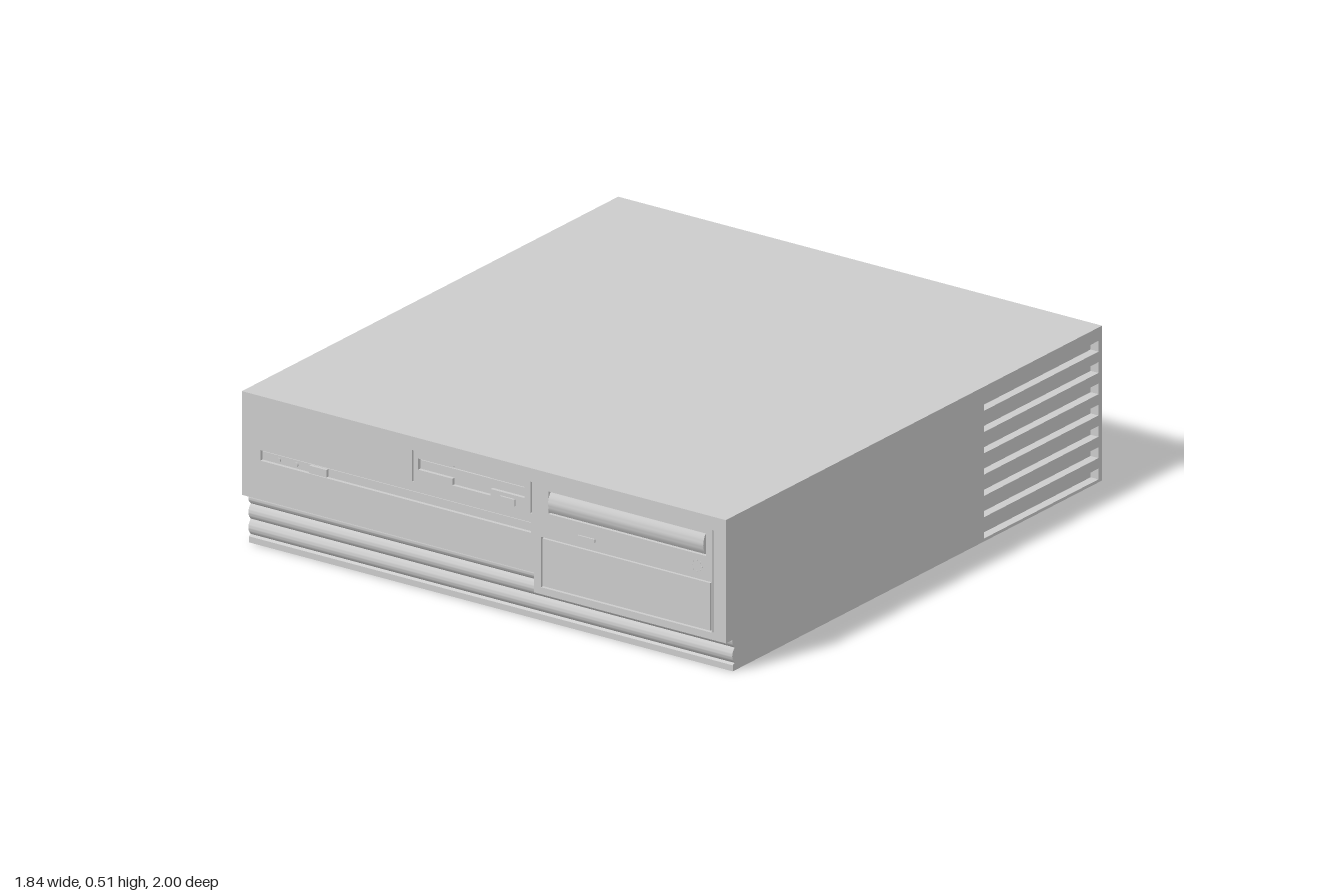
import * as THREE from 'three';
import { toCreasedNormals } from 'three/addons/utils/BufferGeometryUtils.js';

const material = new THREE.MeshStandardMaterial({ color: 0xcccccc });
const W = 0.92, H = 0.515;
const BACK = -0.988, CORE_FRONT = 0.935, FACE = 0.992, FACE_BACK = 0.98;

// Closed outline from [x, y] points
const outline = (pts, Type = THREE.Shape) => new Type(pts.map(([x, y]) => new THREE.Vector2(x, y)));
const rect = (x0, x1, y0, y1) => [[x0, y0], [x1, y0], [x1, y1], [x0, y1]];

export function createModel() {
  const model = new THREE.Group();

  function add(name, geometry, parent = model) {
    const mesh = new THREE.Mesh(geometry, material);
    mesh.name = name;
    parent.add(mesh);
    return mesh;
  }
  function box(name, x0, x1, y0, y1, z0, z1, parent) {
    const g = new THREE.BoxGeometry(x1 - x0, y1 - y0, z1 - z0);
    g.translate((x0 + x1) / 2, (y0 + y1) / 2, (z0 + z1) / 2);
    return add(name, g, parent);
  }
  // Plate facing z, with holes
  function plate(name, pts, holes, z0, z1, parent) {
    const shape = outline(pts);
    shape.holes = holes.map((h) => outline(h, THREE.Path));
    const g = new THREE.ExtrudeGeometry(shape, { depth: z1 - z0, bevelEnabled: false });
    g.translate(0, 0, z0);
    return add(name, g, parent);
  }
  // Side profile, drawn as (-z, y), swept along x
  function sweepX(name, shape, x0, x1, parent) {
    let g = new THREE.ExtrudeGeometry(shape, { depth: x1 - x0, bevelEnabled: false, curveSegments: 10 });
    g.rotateY(Math.PI / 2);
    g.translate(x0, 0, 0);
    g = toCreasedNormals(g, 0.5);
    return add(name, g, parent);
  }
  // Strip whose front bulges outward
  function bulge(name, x0, x1, y0, y1, zBack, zEdge, zMid, parent) {
    const s = new THREE.Shape();
    s.moveTo(-zBack, y0);
    s.lineTo(-zBack, y1);
    s.lineTo(-zEdge, y1);
    s.quadraticCurveTo(-(2 * zMid - zEdge), (y0 + y1) / 2, -zEdge, y0);
    s.closePath();
    return sweepX(name, s, x0, x1, parent);
  }
  function disc(name, x, y, r, z0, z1, parent) {
    const g = new THREE.CylinderGeometry(r, r, z1 - z0, 12);
    g.rotateX(Math.PI / 2);
    g.translate(x, y, (z0 + z1) / 2);
    return add(name, g, parent);
  }

  // Case, with a deep connector recess at the back
  const INNER = 0.89;
  box('caseBody', -W, INNER, 0, H, -0.875, CORE_FRONT);
  plate('backPanel', rect(-W, INNER, 0, H), [rect(-0.19, 0.85, 0.08, 0.455)], BACK, -0.875);
  plate('backRim', rect(-W, W, 0, H), [rect(-W + 0.012, W - 0.012, 0.012, H - 0.012)], -1, BACK);

  // Left side panel with seven vent slots
  const side = outline(rect(-CORE_FRONT, -BACK, 0, H));
  for (let i = 0; i < 7; i++) {
    const y = 0.01 + i * 0.0708;
    side.holes.push(outline(rect(0.375, 0.981, y, y + 0.036), THREE.Path));
  }
  sweepX('ventedSidePanel', side, INNER, W);

  // Rounded ridges along the lower front
  const ridge = new THREE.Shape();
  ridge.moveTo(-CORE_FRONT, 0);
  ridge.lineTo(-CORE_FRONT, 0.17);
  ridge.lineTo(-0.943, 0.17);
  for (const [top, bottom] of [[0.17, 0.127], [0.127, 0.076], [0.076, 0.025]]) {
    ridge.lineTo(-0.945, top);
    ridge.quadraticCurveTo(-0.971, (top + bottom) / 2, -0.945, bottom);
  }
  ridge.lineTo(-0.955, 0.02);
  ridge.lineTo(-0.955, 0);
  ridge.closePath();
  sweepX('lowerRidges', ridge, -W, W);

  // Stepped front bezel: solid backing and a thin face with openings
  const bezel = new THREE.Group();
  bezel.name = 'frontBezel';
  model.add(bezel);
  const step = [[-W, 0.17], [0.19, 0.17], [0.19, 0.105], [W, 0.105], [W, H], [-W, H]];
  plate('bezelBacking', step, [], CORE_FRONT, FACE_BACK, bezel);
  plate('bezelFace', step, [
    rect(-0.85, 0.18, 0.3, 0.335),
    rect(-0.274, -0.268, 0.365, 0.47),
    rect(0.177, 0.183, 0.365, 0.47),
    // floppy slot with finger notches above and below
    [[-0.25, 0.41], [-0.12, 0.41], [-0.12, 0.388], [0.025, 0.388], [0.025, 0.41], [0.155, 0.41],
      [0.155, 0.447], [0.025, 0.447], [0.015, 0.455], [-0.11, 0.455], [-0.12, 0.447], [-0.25, 0.447]],
    rect(0.245, 0.845, 0.378, 0.453),
    rect(0.217, 0.865, 0.128, 0.296),
    rect(0.869, 0.874, 0.128, 0.47),
  ], FACE_BACK, FACE, bezel);

  // Indicator strip
  const strip = new THREE.Group();
  strip.name = 'indicatorStrip';
  model.add(strip);
  box('stripInsert', -0.846, 0.176, 0.304, 0.331, FACE_BACK, 0.987, strip);
  for (const x of [-0.782, -0.715]) disc('indicatorLight', x, 0.317, 0.007, FACE_BACK, 0.992, strip);
  box('powerButton', -0.66, -0.595, 0.305, 0.33, FACE_BACK, 0.998, strip);

  // Floppy drive
  box('floppyFlap', -0.245, 0.15, 0.415, 0.442, FACE_BACK, 0.986);
  box('floppyEjectButton', 0.065, 0.12, 0.375, 0.398, FACE_BACK, 0.998);

  // Disc drive
  bulge('discTray', 0.25, 0.84, 0.382, 0.449, FACE_BACK, 0.988, 1.0);
  box('discEjectButton', 0.36, 0.425, 0.325, 0.336, FACE_BACK, 0.997);
  for (let i = 0; i < 8; i++) {
    const a = (i / 8) * Math.PI * 2;
    disc('dialDot', 0.81 + 0.019 * Math.cos(a), 0.338 + 0.019 * Math.sin(a), 0.003, FACE_BACK, 0.994);
  }

  // Blank cover for the spare bay
  box('bayCover', 0.222, 0.86, 0.133, 0.291, FACE_BACK, 0.991);

  return model;
}
